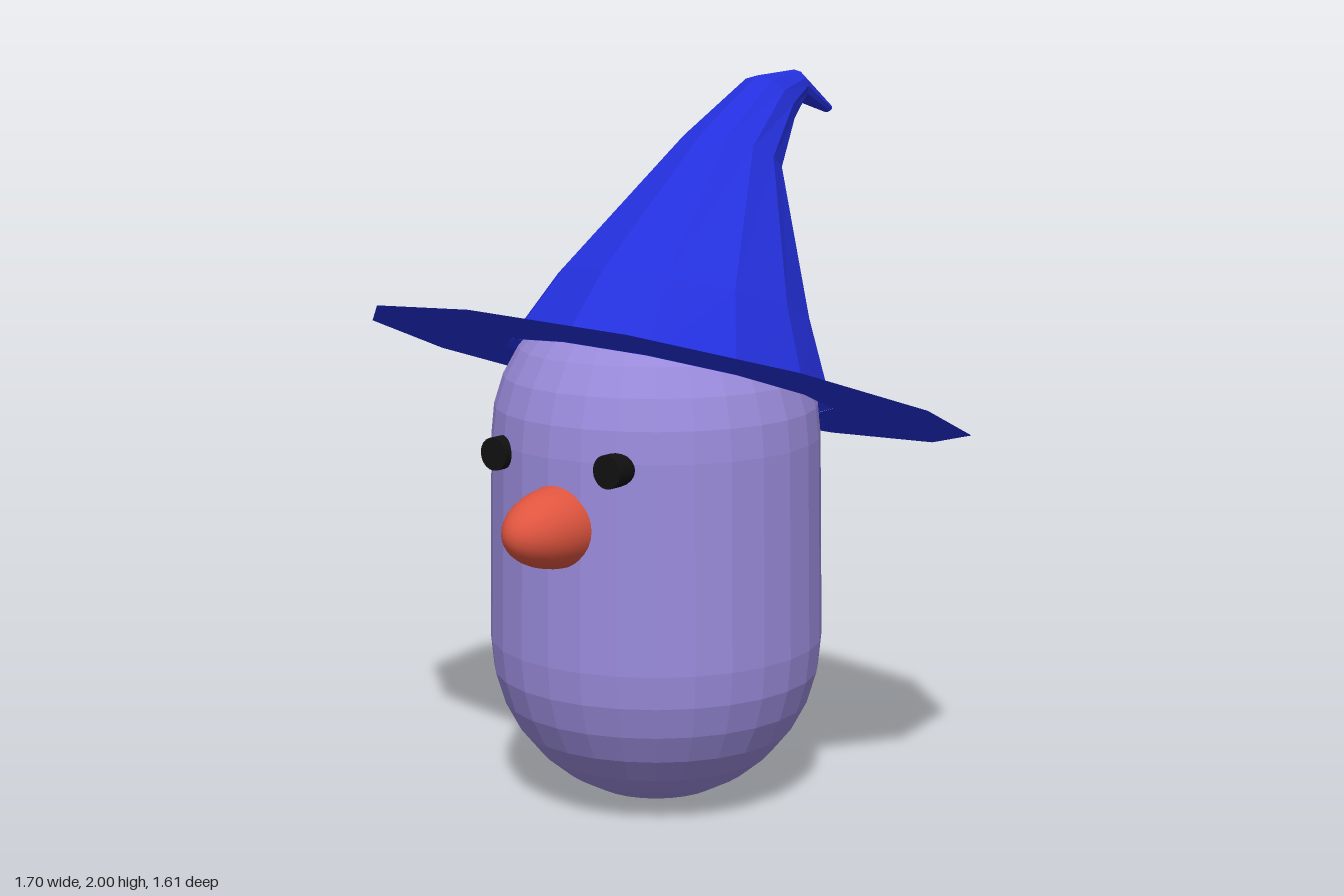
import * as THREE from 'three';

const material = (color, options = {}) => new THREE.MeshStandardMaterial({ color, ...options });

function addMesh(group, name, geometry, mat) {
  const mesh = new THREE.Mesh(geometry, mat);
  mesh.name = name;
  group.add(mesh);
  return mesh;
}

// Slightly tapered capsule profile, bottom pole to top pole
function bodyGeometry() {
  const points = [];
  const steps = 8;
  for (let i = 0; i <= steps; i++) {
    const a = (i / steps) * Math.PI / 2;
    points.push(new THREE.Vector2(0.463 * Math.sin(a), 0.463 * (1 - Math.cos(a))));
  }
  for (let i = 0; i <= steps; i++) {
    const a = (i / steps) * Math.PI / 2;
    points.push(new THREE.Vector2(0.454 * Math.cos(a), 1.03 + 0.44 * Math.sin(a)));
  }
  return new THREE.LatheGeometry(points, 28);
}

// Loft through 12-sided rings, each given by its front and back point and half-width
function hatGeometry() {
  const sides = 12;
  const rings = [ // [frontZ, frontY, backZ, backY, halfWidth]
    [0.44, 1.33, -0.44, 1.03, 0.465],
    [0.27, 1.51, -0.41, 1.29, 0.355],
    [-0.15, 1.84, -0.42, 1.71, 0.15],
    [-0.41, 1.99, -0.51, 1.83, 0.09],
    [-0.59, 2.0, -0.605, 1.91, 0.045],
    [-0.77, 1.89, -0.75, 1.87, 0.015],
  ];
  const positions = [];
  const index = [];
  rings.forEach(([fz, fy, bz, by, w], r) => {
    for (let s = 0; s < sides; s++) {
      const t = (s / sides) * Math.PI * 2;
      const k = (1 + Math.cos(t)) / 2;
      positions.push(w * Math.sin(t), by + (fy - by) * k, bz + (fz - bz) * k);
      if (r < rings.length - 1) {
        const a = r * sides + s;
        const b = r * sides + (s + 1) % sides;
        index.push(a, b, b + sides, a, b + sides, a + sides);
      }
    }
  });
  // Close the tip
  const last = (rings.length - 1) * sides;
  for (let s = 1; s < sides - 1; s++) index.push(last, last + s, last + s + 1);
  const geometry = new THREE.BufferGeometry();
  geometry.setAttribute('position', new THREE.Float32BufferAttribute(positions, 3));
  geometry.setIndex(index);
  geometry.computeVertexNormals();
  return geometry;
}

export function createModel() {
  const model = new THREE.Group();
  model.name = 'hattedFigure';

  const body = addMesh(model, 'body', bodyGeometry(), material(0x9a8bdb, { flatShading: true }));
  body.position.z = 0.05;

  // Eyes: short pegs set into the face
  const eyeMaterial = material(0x111111);
  for (const [name, x] of [['leftEye', 0.192], ['rightEye', -0.2]]) {
    const eye = addMesh(model, name, new THREE.CylinderGeometry(0.045, 0.045, 0.1, 20), eyeMaterial);
    eye.rotation.x = Math.PI / 2;
    eye.position.set(x, 1.015, 0.447);
  }

  // Nose: long ellipsoid pointing forward
  const noseGeometry = new THREE.SphereGeometry(1, 32, 20).rotateX(Math.PI / 2);
  const nose = addMesh(model, 'nose', noseGeometry, material(0xe0553f));
  nose.scale.set(0.112, 0.112, 0.21);
  nose.position.set(0.02, 0.847, 0.47);

  // Hat: bent cone on a thin tilted brim
  const hat = new THREE.Group();
  hat.name = 'hat';
  const hatMaterial = material(0x2430dd, { flatShading: true, side: THREE.DoubleSide });
  addMesh(hat, 'hatCone', hatGeometry(), hatMaterial);
  const brim = addMesh(hat, 'hatBrim', new THREE.RingGeometry(0.465, 0.85, 12), hatMaterial);
  brim.rotation.x = -Math.PI / 2 - 0.33;
  brim.position.y = 1.18;
  model.add(hat);

  return model;
}
